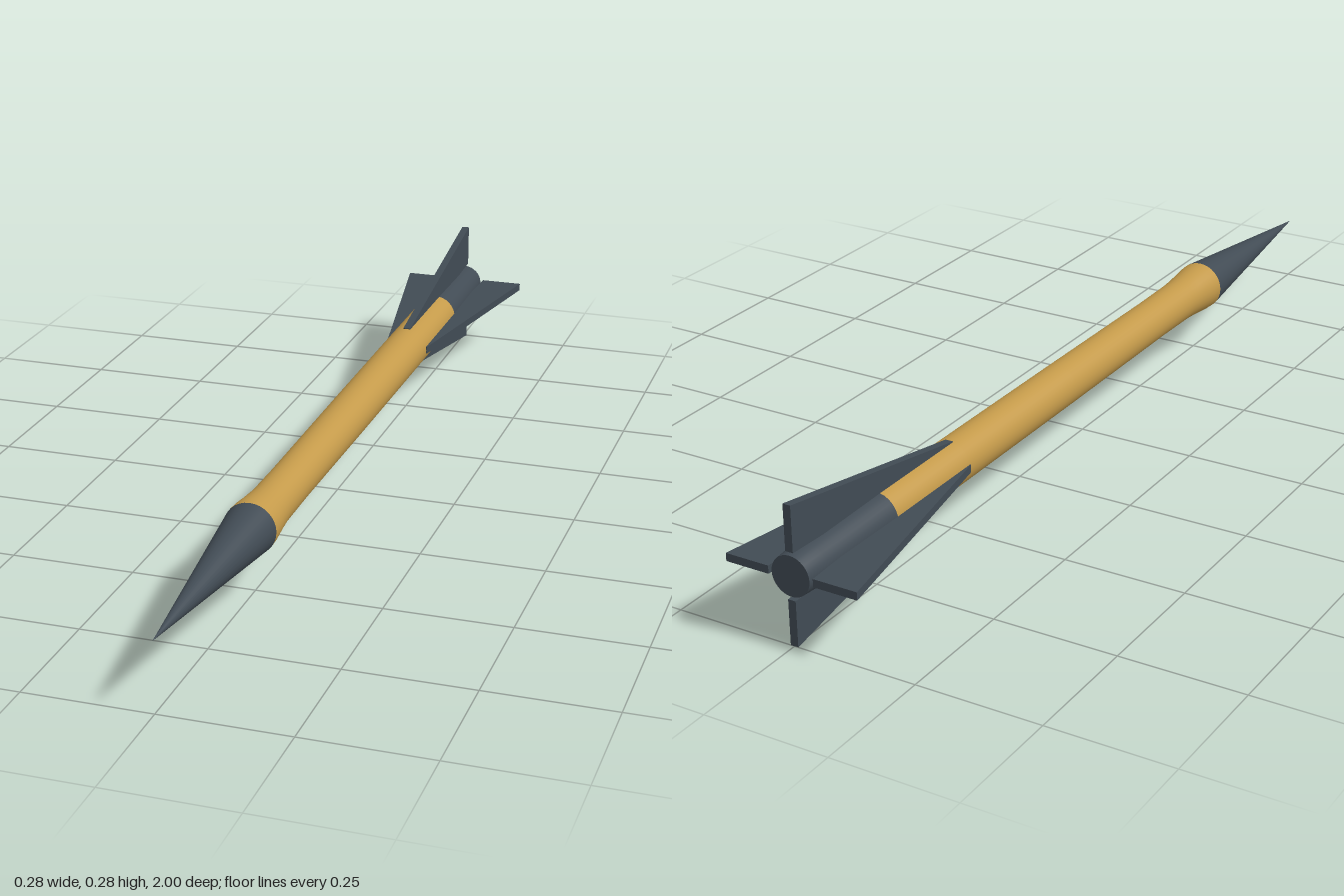
import * as THREE from 'three';

const AXIS_Y = 0.139;

export function createModel() {
  const model = new THREE.Group();
  const wood = new THREE.MeshStandardMaterial({ color: 0xc49a4a });
  const steel = new THREE.MeshStandardMaterial({ color: 0x414b54 });

  // Turned part from [radius, z] pairs, listed from back to front
  function turned(name, profile, material) {
    const points = profile.map(([r, z]) => new THREE.Vector2(r, z));
    const geometry = new THREE.LatheGeometry(points, 32).rotateX(Math.PI / 2);
    const mesh = new THREE.Mesh(geometry, material);
    mesh.name = name;
    mesh.position.y = AXIS_Y;
    model.add(mesh);
  }

  // Shaft with a flared collar at the front
  turned('shaft', [[0.046, -0.74], [0.046, -0.5], [0.045, -0.1], [0.043, 0.3],
    [0.044, 0.42], [0.047, 0.46], [0.051, 0.5], [0.052, 0.525]], wood);

  // Pointed head
  turned('tip', [[0.052, 0.525], [0, 1]], steel);

  // Tapering tail sleeve and its end cap
  turned('tailSleeve', [[0.04, -1], [0.043, -0.95], [0.046, -0.74]], steel);
  turned('tailCap', [[0, -1], [0.04, -1]], steel);

  // Four swept fins: shape drawn as (radius, distance along the axis)
  const outline = new THREE.Shape([[0.035, -0.5], [0.047, -0.5], [0.138, -1],
    [0.047, -1], [0.044, -0.94], [0.035, -0.74]].map(([r, z]) => new THREE.Vector2(r, z)));
  const finGeometry = new THREE.ExtrudeGeometry(outline, { depth: 0.016, bevelEnabled: false })
    .translate(0, 0, -0.008).rotateX(Math.PI / 2);
  const fins = new THREE.Group();
  fins.name = 'fins';
  fins.position.y = AXIS_Y;
  for (let i = 0; i < 4; i++) {
    const fin = new THREE.Mesh(finGeometry, steel);
    fin.name = ['leftFin', 'topFin', 'rightFin', 'bottomFin'][i];
    fin.rotation.z = i * Math.PI / 2;
    fins.add(fin);
  }
  model.add(fins);

  return model;
}
